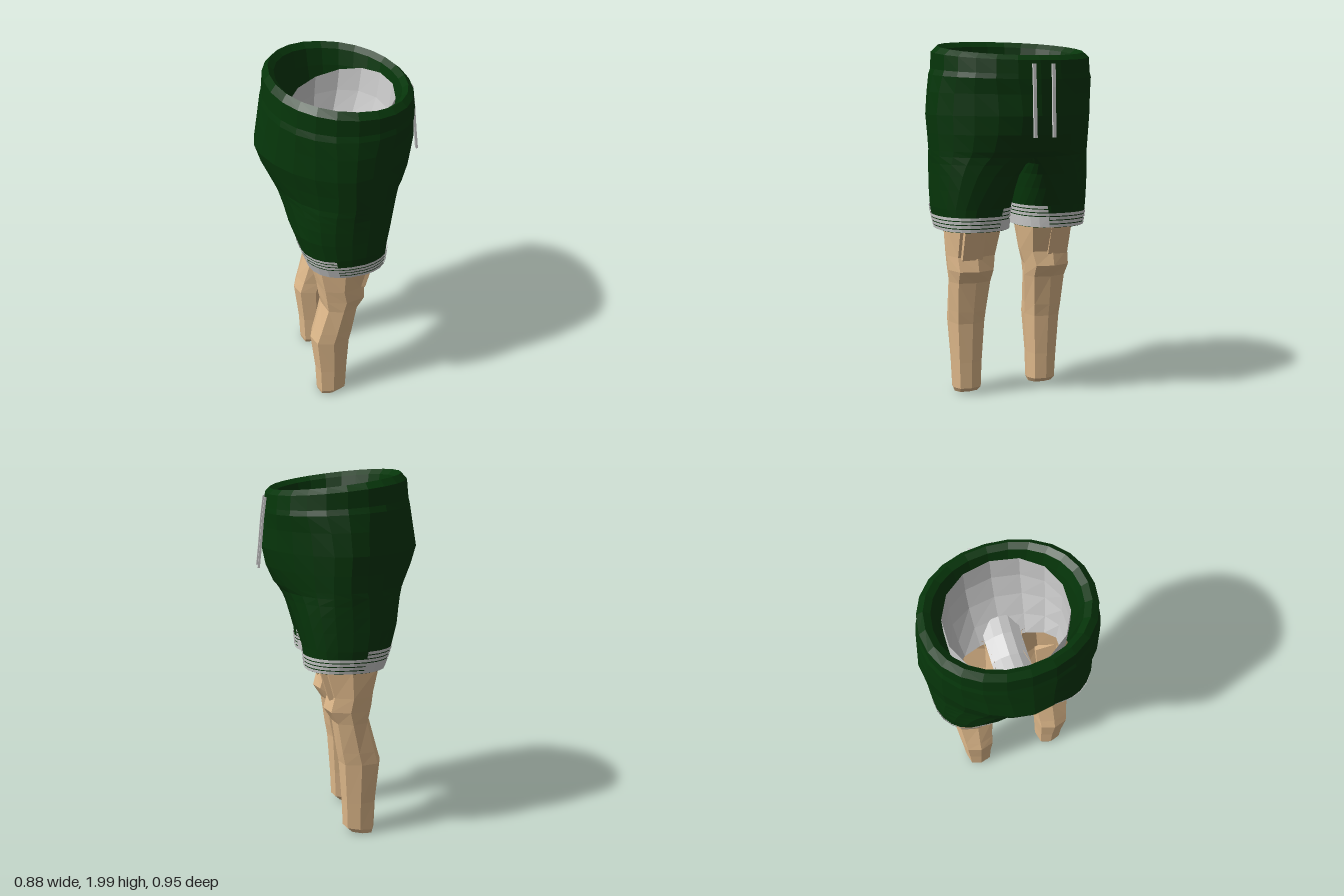
import * as THREE from 'three';

const paint = (color) => new THREE.MeshStandardMaterial({ color, flatShading: true, side: THREE.DoubleSide });

// Ring: [y, back x, front x, inner z, outer z, centre z, tilt (y per x), roundness power]
function ringPoint([y, xb, xf, zi, zo, zc, tilt, e], t, s) {
  const bend = (v) => Math.sign(v) * Math.pow(Math.abs(v), e);
  const c = bend(Math.cos(t)), d = bend(Math.sin(t));
  const x = (xb + xf) / 2 + ((xf - xb) / 2) * c;
  return [x, y + tilt * x, s * (zc + d * (d > 0 ? zo - zc : zc - zi))];
}

// Skin a stack of rings, listed downwards; s = -1 mirrors across z
function loft(rings, n, s = 1, t0 = 0, t1 = Math.PI * 2) {
  const pos = [], idx = [], w = n + 1;
  rings.forEach((r, i) => {
    for (let j = 0; j <= n; j++) {
      pos.push(...ringPoint(r, t0 + ((t1 - t0) * j) / n, s));
      if (i === rings.length - 1 || j === n) continue;
      const a = i * w + j, b = a + 1, c = a + w, d = c + 1;
      idx.push(...(s > 0 ? [a, b, c, b, d, c] : [a, c, b, b, c, d]));
    }
  });
  const g = new THREE.BufferGeometry();
  g.setAttribute('position', new THREE.Float32BufferAttribute(pos, 3));
  g.setIndex(idx);
  g.computeVertexNormals();
  return g;
}

// Ring of a stack at a given height, grown outwards
function ringAt(rings, y, grow) {
  let i = 0;
  while (i < rings.length - 2 && rings[i + 1][0] > y) i++;
  const a = rings[i], b = rings[i + 1], k = (y - a[0]) / (b[0] - a[0]);
  const r = a.map((v, m) => v + (b[m] - v) * k);
  return [y, r[1] - grow, r[2] + grow, r[3] - grow, r[4] + grow, ...r.slice(5)];
}

const full = (y, xb, xf, z, tilt = 0, e = 0.95) => [y, xb, xf, -z, z, 0, tilt, e];

// Seat of the shorts, from inside the waistband over the rim to the crotch
const seat = [
  full(1.68, -0.26, 0.29, 0.33, 0.05),
  full(1.84, -0.3, 0.315, 0.35, -0.08),
  full(1.93, -0.315, 0.33, 0.37, -0.12),
  full(1.955, -0.345, 0.36, 0.405, -0.12),
  full(1.925, -0.375, 0.387, 0.44, -0.1),
  full(1.84, -0.385, 0.395, 0.442, -0.06),
  full(1.81, -0.393, 0.398, 0.452, -0.05),
  full(1.72, -0.415, 0.402, 0.467, -0.02, 1.07),
  full(1.6, -0.44, 0.41, 0.477, 0, 1.15),
  full(1.5, -0.41, 0.39, 0.47, 0, 1.13),
  full(1.41, -0.37, 0.35, 0.462, 0, 1.05),
  full(1.38, -0.355, 0.325, 0.46, 0, 0.98),
];

// One leg of the shorts, from crotch to hem and a short fold inside
const shortsLeg = [
  [1.38, -0.355, 0.325, 0, 0.46, 0, 0, 0.98],
  [1.34, -0.335, 0.3, 0.01, 0.456, 0.05, 0, 0.93],
  [1.28, -0.317, 0.275, 0.013, 0.453, 0.1, 0, 0.88],
  [1.2, -0.3, 0.25, 0.016, 0.45, 0.15, 0, 0.85],
  [1.1, -0.265, 0.22, 0.021, 0.446, 0.21, 0, 0.85],
  [1.03, -0.24, 0.21, 0.03, 0.437, 0.23, 0, 0.85],
  [0.975, -0.22, 0.205, 0.035, 0.425, 0.23, 0, 0.85],
  [0.99, -0.2, 0.185, 0.055, 0.405, 0.23, 0, 0.85],
  [1.12, -0.23, 0.19, 0.05, 0.41, 0.22, 0, 0.85],
];
const shortsOuter = shortsLeg.slice(0, 7);

// Hollow eight-sided leg, knee bulging forwards, turned in at the ankle
const legRings = [
  [1.37, -0.16, 0.13, 0.08, 0.3, 0.2],
  [1.2, -0.2, 0.16, 0.06, 0.36, 0.21],
  [0.97, -0.205, 0.135, 0.065, 0.37, 0.22],
  [0.82, -0.17, 0.085, 0.085, 0.365, 0.23],
  [0.74, -0.16, 0.105, 0.105, 0.36, 0.23],
  [0.67, -0.145, 0.06, 0.11, 0.352, 0.23],
  [0.5, -0.19, 0.035, 0.13, 0.34, 0.235],
  [0.43, -0.21, 0.022, 0.135, 0.335, 0.235],
  [0.2, -0.185, 0.005, 0.15, 0.32, 0.235],
  [0.05, -0.178, -0.002, 0.155, 0.312, 0.235, 0.1],
  [0.025, -0.172, -0.035, 0.168, 0.3, 0.235, 0.1],
  [0.05, -0.125, -0.05, 0.18, 0.28, 0.235],
].map((r) => [...r.slice(0, 6), r[6] || 0, 0.72]);

// Under-layer round the hips, higher at the front, tapering into the thighs
const hips = [
  full(1.8, -0.25, 0.3, 0.32, 0.22),
  full(1.69, -0.25, 0.28, 0.32, 0.1),
  full(1.58, -0.235, 0.235, 0.315),
  full(1.45, -0.19, 0.17, 0.3),
  full(1.34, -0.13, 0.1, 0.28),
];

export function createModel() {
  const model = new THREE.Group();
  const green = paint(0x06350a), skin = paint(0xdfb98b), grey = paint(0xcccccc);
  const add = (name, geo, mat, parent = model) => {
    const m = new THREE.Mesh(geo, mat);
    m.name = name;
    parent.add(m);
    return m;
  };

  add('shortsSeat', loft(seat, 24), green);
  add('hipLayer', loft(hips, 14), grey);

  // Saddle strip between the legs
  const strip = [[0.17, 1.47], [0.09, 1.42], [-0.03, 1.4], [-0.13, 1.42], [-0.2, 1.48]];
  const saddle = new THREE.PlaneGeometry(1, 1, 4, 4);
  const sp = saddle.attributes.position;
  for (let i = 0; i < sp.count; i++) {
    const [x, y] = strip[Math.floor(i / 5)], u = (i % 5) / 2 - 1;
    sp.setXYZ(i, x, y - 0.05 * u * u, u * 0.1);
  }
  saddle.computeVertexNormals();
  add('crotchStrip', saddle, grey);

  for (const s of [1, -1]) {
    const side = new THREE.Group();
    side.name = s > 0 ? 'leftSide' : 'rightSide';
    model.add(side);
    add('shortsLeg', loft(shortsLeg, 24, s), green, side);
    add('leg', loft(legRings, 8, s), skin, side);

    // Flat pad above the knee
    const pad = add('thighPad', new THREE.BoxGeometry(0.03, 0.18, 0.12), skin, side);
    pad.position.set(0.095, 0.895, s * 0.26);
    pad.rotation.z = -0.28;

    // Hem stripes: low on the outer front quarter, stepped up elsewhere
    const low = [-0.35, 1.85], high = [1.85, Math.PI * 2 - 0.35];
    for (let k = 0; k < 4; k++) {
      const y = 0.978 + k * 0.021;
      const stripe = (lo, hi) => [ringAt(shortsOuter, hi, 0.006), ringAt(shortsOuter, lo, 0.006)];
      add('hemStripe', loft(stripe(y, y + 0.016), 9, s, ...low), grey, side);
      const up = y + 0.042;
      add('hemStripe', loft(stripe(k ? up : 0.978, up + 0.016), 15, s, ...high), grey, side);
    }
  }

  // Drawstrings hanging at the waist
  for (const [z0, z1] of [[0.038, 0.048], [-0.073, -0.06]]) {
    const path = [[0.39, 1.87], [0.406, 1.75], [0.418, 1.62], [0.432, 1.49]];
    const cord = new THREE.BoxGeometry(0.012, 1, 0.018, 1, 3, 1);
    const p = cord.attributes.position;
    for (let i = 0; i < p.count; i++) {
      const k = Math.round((0.5 - p.getY(i)) * 3);
      p.setXYZ(i, path[k][0] + p.getX(i), path[k][1], p.getZ(i) + z0 + ((z1 - z0) * k) / 3);
    }
    cord.computeVertexNormals();
    add('drawstring', cord, grey);
  }
  return model;
}
